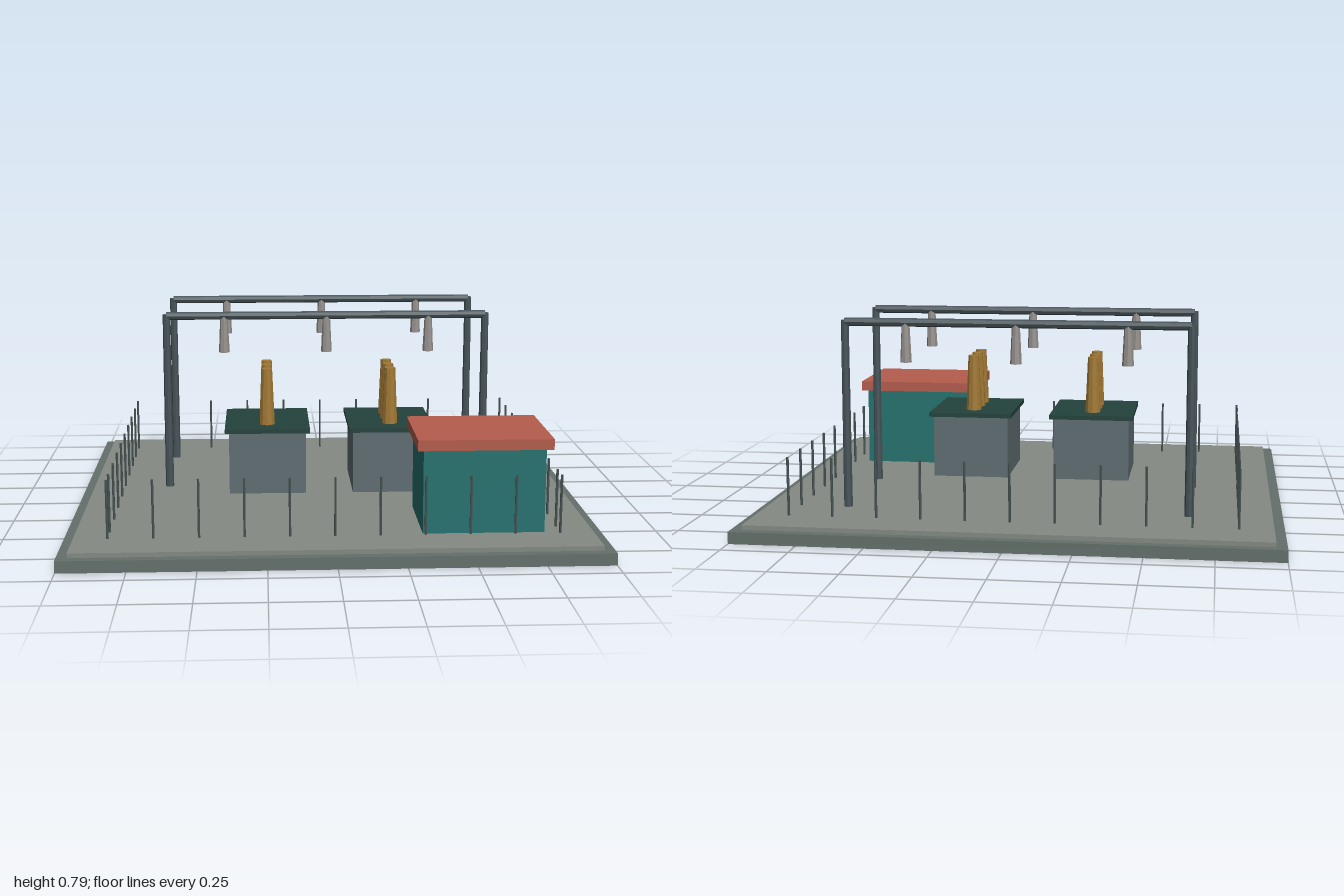
import * as THREE from 'three';

const mat = (color) => new THREE.MeshStandardMaterial({ color, flatShading: true });

export function createModel() {
  const root = new THREE.Group();
  root.name = 'substation';

  const mats = {
    base: mat(0x64706b), pad: mat(0x858a83), steel: mat(0x48555a), tank: mat(0x5f6e72),
    lid: mat(0x24423d), bushing: mat(0xa27a35), insulator: mat(0x97938f),
    wall: mat(0x267370), roof: mat(0xb45c4c), fence: mat(0x475252),
  };

  const add = (parent, name, geometry, material, x, y, z) => {
    const mesh = new THREE.Mesh(geometry, material);
    mesh.name = name;
    mesh.position.set(x, y, z);
    parent.add(mesh);
    return mesh;
  };
  // Box and cylinder given by their bottom and top heights
  const box = (parent, name, m, w, d, y0, y1, x = 0, z = 0) =>
    add(parent, name, new THREE.BoxGeometry(w, y1 - y0, d), m, x, (y0 + y1) / 2, z);
  const rod = (parent, name, m, rTop, rBottom, sides, y0, y1, x = 0, z = 0) =>
    add(parent, name, new THREE.CylinderGeometry(rTop, rBottom, y1 - y0, sides), m, x, (y0 + y1) / 2, z);
  const group = (name, x = 0, z = 0) => {
    const g = new THREE.Group();
    g.name = name;
    g.position.set(x, 0, z);
    root.add(g);
    return g;
  };

  // Ground slab and raised gravel pad
  box(root, 'groundSlab', mats.base, 2, 1.833, 0, 0.045);
  box(root, 'gravelPad', mats.pad, 1.92, 1.76, 0.045, 0.062);

  // Two transformers, each with three bushings
  for (const x of [-0.245, 0.245]) {
    const t = group('transformer', x, 0.063);
    box(t, 'tank', mats.tank, 0.303, 0.363, 0.1, 0.347);
    box(t, 'tankLid', mats.lid, 0.335, 0.4, 0.347, 0.364);
    for (const z of [-0.094, 0, 0.094])
      rod(t, 'bushing', mats.bushing, 0.022, 0.032, 10, 0.35, 0.588, 0, z);
  }

  // Two gantries with hanging insulators
  for (const z of [-0.033, -0.533]) {
    const g = group('gantry', 0, z);
    for (const x of [-0.65, 0.65])
      rod(g, 'gantryPost', mats.steel, 0.015, 0.017, 8, 0.06, 0.779, x);
    const beam = rod(g, 'gantryBeam', mats.steel, 0.016, 0.016, 8, -0.65, 0.65);
    beam.rotation.z = Math.PI / 2;
    beam.position.y = 0.773;
    for (const x of [-0.417, 0, 0.417])
      rod(g, 'insulator', mats.insulator, 0.015, 0.022, 8, 0.623, 0.77, x);
  }

  // Control house
  const house = group('controlHouse', 0.55, 0.51);
  box(house, 'houseWalls', mats.wall, 0.453, 0.373, 0.06, 0.38);
  box(house, 'houseRoof', mats.roof, 0.5, 0.417, 0.38, 0.42);

  // Fence posts around the perimeter
  const fence = group('fence');
  const post = (x, z) => rod(fence, 'fencePost', mats.fence, 0.005, 0.005, 6, 0.06, 0.283, x, z);
  const step = 1 / 6;
  for (let i = -5; i <= 5; i++)
    for (const z of [-0.708, 0.708]) post(i * step, z);
  for (let i = 1; i <= 8; i++)
    for (const x of [-5 * step, 5 * step]) post(x, -0.708 + i * step);

  return root;
}
